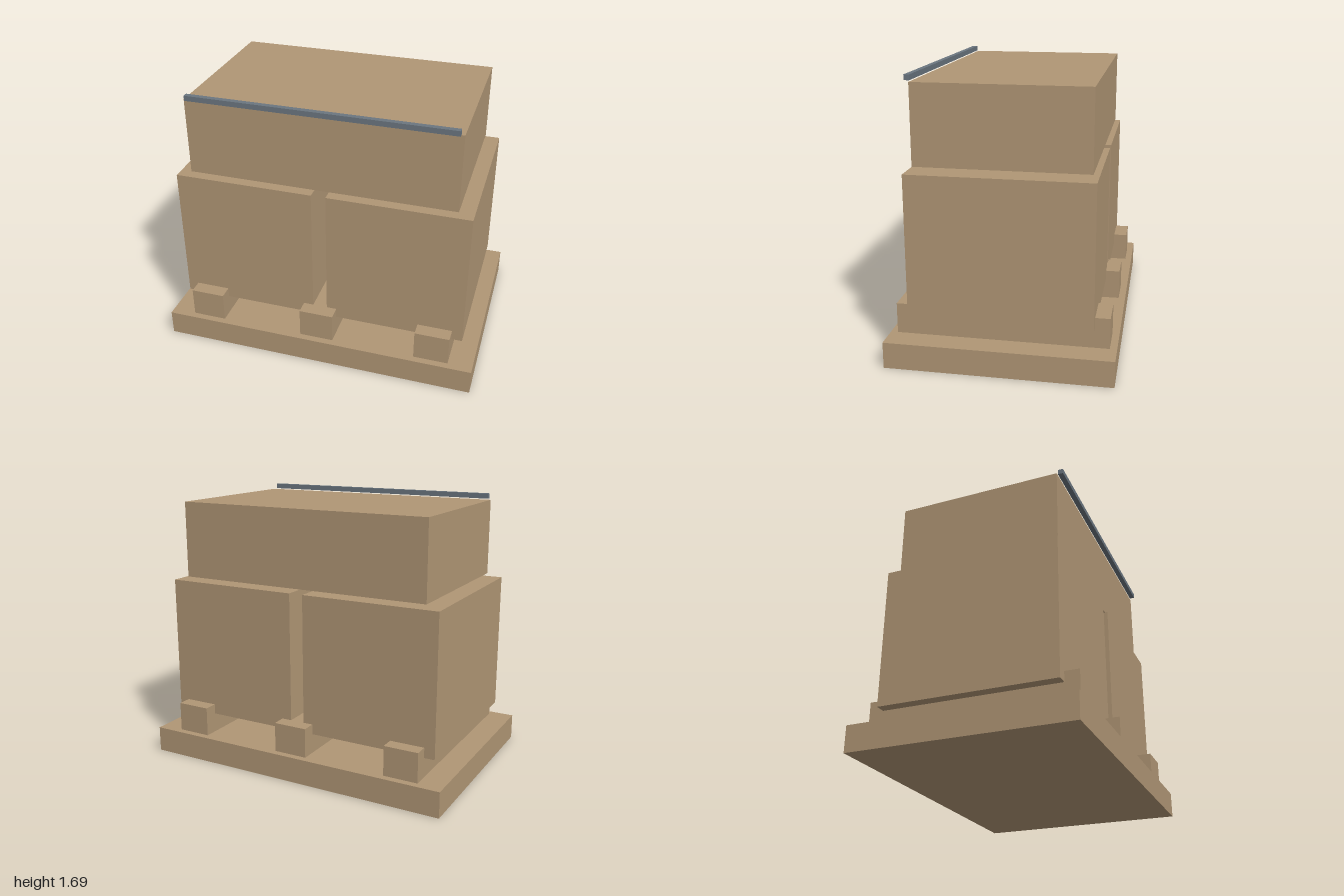
import * as THREE from 'three';

const cardboard = new THREE.MeshStandardMaterial({ color: 0xb09675 });
cardboard.name = 'cardboard tan';
const steel = new THREE.MeshStandardMaterial({ color: 0x6b7680 });
steel.name = 'steel grey';

export function createModel() {
  const model = new THREE.Group();
  model.name = 'loadedPallet';

  // Box given by its centre x, z and its bottom and top heights
  function block(name, material, width, depth, bottom, top, x = 0, z = 0) {
    const mesh = new THREE.Mesh(new THREE.BoxGeometry(width, top - bottom, depth), material);
    mesh.name = name;
    mesh.position.set(x, (bottom + top) / 2, z);
    model.add(mesh);
  }

  // Pallet deck with three runners from front to back
  block('palletDeck', cardboard, 2, 1.345, 0, 0.16);
  for (const [name, x] of [['rightRunner', -0.74], ['middleRunner', 0], ['leftRunner', 0.74]]) {
    block(name, cardboard, 0.215, 1.26, 0.16, 0.345, x);
  }

  // Two lower crates side by side
  block('rightCrate', cardboard, 0.868, 1.085, 0.282, 1.15, -0.479);
  block('leftCrate', cardboard, 0.868, 1.085, 0.282, 1.15, 0.479);

  // Wide upper crate with a slim bar along its front top edge
  block('upperCrate', cardboard, 1.65, 1.026, 1.174, 1.652);
  block('frontBar', steel, 1.61, 0.032, 1.658, 1.69, 0, 0.53);

  return model;
}
